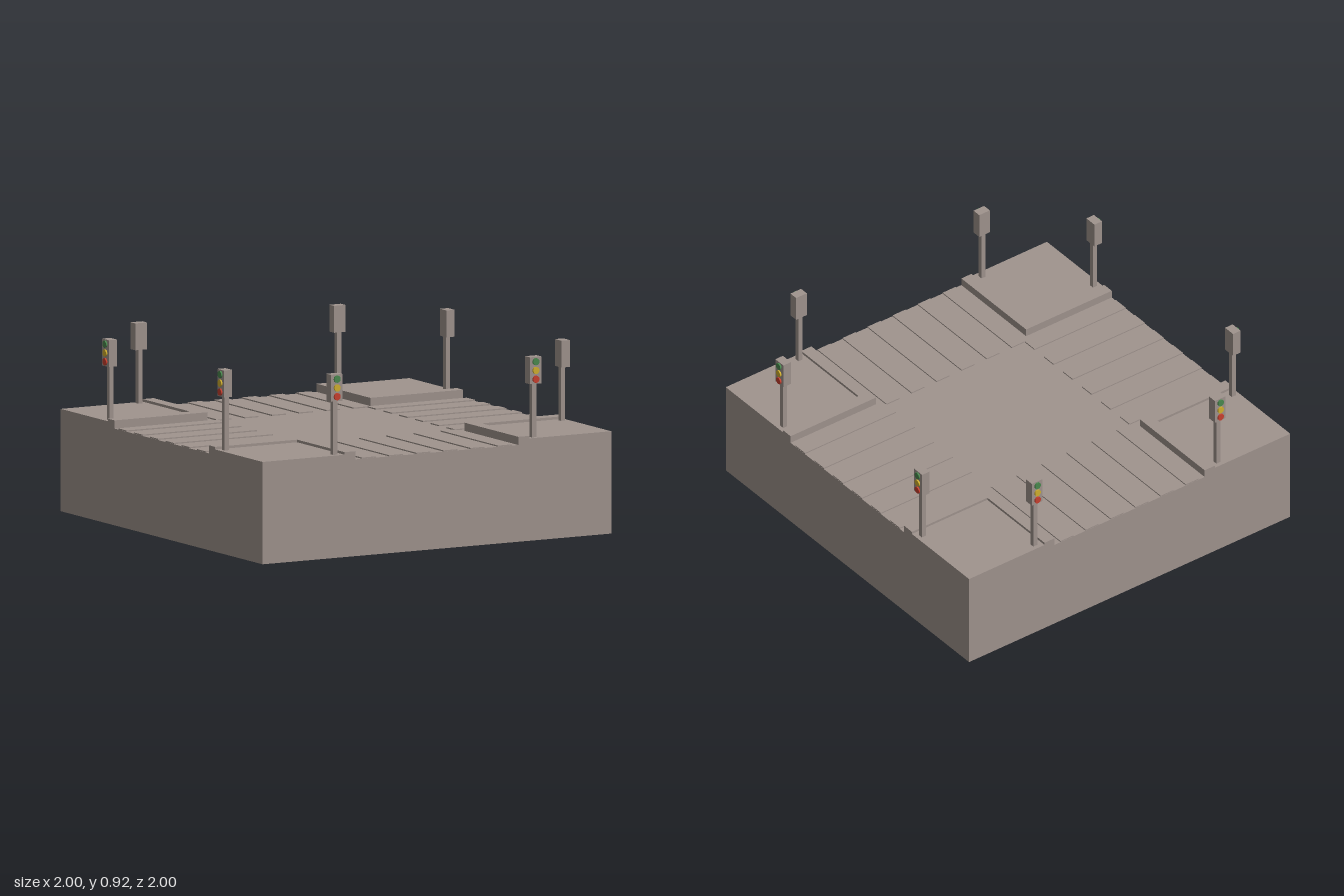
import * as THREE from 'three';

const ROAD = 0.486, CURB = 0.527, PAVING = 0.514, INNER = 0.467, CURB_IN = 0.53;

export function createModel() {
  const stone = new THREE.MeshStandardMaterial({ color: 0xa0948e, side: THREE.DoubleSide });
  stone.name = 'stone';
  const lens = {};
  for (const [name, color] of [['green', 0x4a8a4f], ['yellow', 0xd1b02f], ['red', 0xc9402f]]) {
    lens[name] = new THREE.MeshStandardMaterial({ color });
    lens[name].name = name;
  }

  function add(parent, name, geometry, material, x = 0, y = 0, z = 0) {
    const mesh = new THREE.Mesh(geometry, material);
    mesh.name = name;
    mesh.position.set(x, y, z);
    parent.add(mesh);
    return mesh;
  }
  const box = (w, h, d) => new THREE.BoxGeometry(w, h, d);

  // Signal with three lenses facing +z
  function trafficLight(x) {
    const light = new THREE.Group();
    light.name = 'trafficLight';
    add(light, 'pole', box(0.025, 0.275, 0.025), stone, 0, PAVING + 0.1375, 0.965);
    add(light, 'housing', box(0.066, 0.135, 0.047), stone, 0, 0.852, 0.9685);
    ['red', 'yellow', 'green'].forEach((name, i) => {
      const disc = new THREE.CylinderGeometry(0.018, 0.018, 0.008, 20).rotateX(Math.PI / 2);
      add(light, name + 'Lens', disc, lens[name], 0, 0.808 + i * 0.044, 0.996);
    });
    light.position.x = x;
    return light;
  }

  // Raised L-shaped curb around the +x +z corner
  function curbGeometry() {
    const shape = new THREE.Shape([
      [INNER, -1], [CURB_IN, -1], [CURB_IN, -CURB_IN], [1, -CURB_IN], [1, -INNER], [INNER, -INNER],
    ].map(([x, y]) => new THREE.Vector2(x, y)));
    return new THREE.ExtrudeGeometry(shape, { depth: CURB - ROAD, bevelEnabled: false })
      .rotateX(-Math.PI / 2);
  }

  const model = new THREE.Group();
  model.name = 'crossroads';

  // Hollow base, open underneath
  add(model, 'road', new THREE.PlaneGeometry(2, 2).rotateX(-Math.PI / 2), stone, 0, ROAD, 0);

  // Four identical quarters: wall, crossing, corner pavement and two signals
  for (let q = 0; q < 4; q++) {
    const side = new THREE.Group();
    side.name = 'quarter';
    side.rotation.y = q * Math.PI / 2;
    model.add(side);

    add(side, 'wall', new THREE.PlaneGeometry(2, ROAD), stone, 0, ROAD / 2, 1);
    for (let i = 0; i < 6; i++) {
      add(side, 'crossingStripe', box(0.08, 0.05, 0.568), stone, (i - 2.5) * 0.156, 0.467, 0.715);
    }
    add(side, 'curb', curbGeometry(), stone, 0, ROAD, 0);
    const w = 1 - CURB_IN, mid = (1 + CURB_IN) / 2;
    add(side, 'pavement', box(w, PAVING - ROAD, w), stone, mid, (PAVING + ROAD) / 2, mid);
    for (const s of [-1, 1]) side.add(trafficLight(s * 0.57));
  }
  return model;
}
